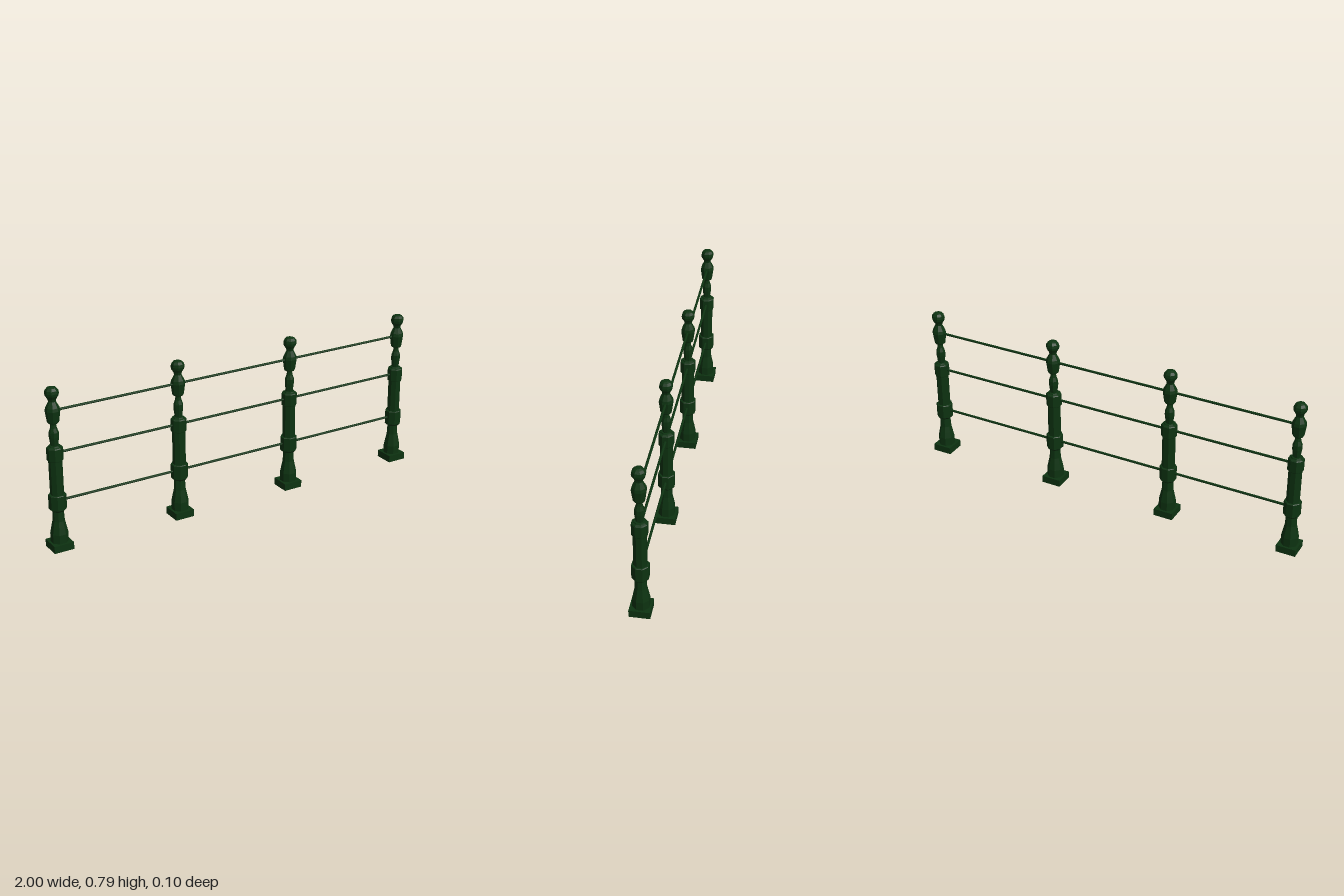
import * as THREE from 'three';

const green = new THREE.MeshStandardMaterial({ color: 0x0d3311, flatShading: true });
green.name = 'dark green paint';

// Octagonal turned section with flats facing the axes; profile is [half width, y]
function turned(name, profile) {
  const k = 1 / Math.cos(Math.PI / 8);
  const points = profile.map(([w, y]) => new THREE.Vector2(w * k, y));
  const mesh = new THREE.Mesh(new THREE.LatheGeometry(points, 8, Math.PI / 8), green);
  mesh.name = name;
  return mesh;
}

function createPost() {
  const post = new THREE.Group();

  // Square foot
  const foot = new THREE.Mesh(new THREE.BoxGeometry(0.097, 0.035, 0.097), green);
  foot.name = 'foot';
  foot.position.y = 0.0175;
  post.add(foot);

  post.add(
    turned('pedestal', [[0.038, 0.034], [0.038, 0.078], [0.032, 0.11], [0.026, 0.14], [0.024, 0.19]]),
    turned('lowerCollar', [[0.024, 0.188], [0.03, 0.19], [0.038, 0.2], [0.038, 0.268], [0.035, 0.271], [0, 0.271]]),
    turned('shaft', [[0.029, 0.27], [0.029, 0.436]]),
    turned('upperCollar', [[0.028, 0.435], [0.034, 0.437], [0.035, 0.44], [0.035, 0.497], [0.032, 0.501],
      [0.025, 0.504], [0.023, 0.509], [0, 0.51]]),
    turned('baluster', [[0.016, 0.509], [0.021, 0.55], [0.021, 0.572], [0.014, 0.592], [0.012, 0.606], [0.013, 0.618]]),
    turned('urn', [[0, 0.616], [0.022, 0.616], [0.025, 0.621], [0.032, 0.675], [0.029, 0.69], [0.016, 0.717], [0.016, 0.722]]),
    turned('finial', [[0.016, 0.72], [0.019, 0.73], [0.028, 0.745], [0.03, 0.757], [0.028, 0.77],
      [0.02, 0.781], [0.01, 0.785], [0, 0.786]])
  );
  return post;
}

export function createModel() {
  const model = new THREE.Group();
  model.name = 'railing';

  const postX = [-0.952, -0.321, 0.3, 0.952];
  postX.forEach((x, i) => {
    const post = createPost();
    post.name = `post${i + 1}`;
    post.position.x = x;
    model.add(post);
  });

  // Three thin rails running through the posts
  const rails = { lowerRail: 0.236, middleRail: 0.47, upperRail: 0.673 };
  for (const [name, y] of Object.entries(rails)) {
    const geometry = new THREE.CylinderGeometry(0.006, 0.006, 1.904, 8).rotateZ(Math.PI / 2);
    const rail = new THREE.Mesh(geometry, green);
    rail.name = name;
    rail.position.y = y;
    model.add(rail);
  }
  return model;
}
